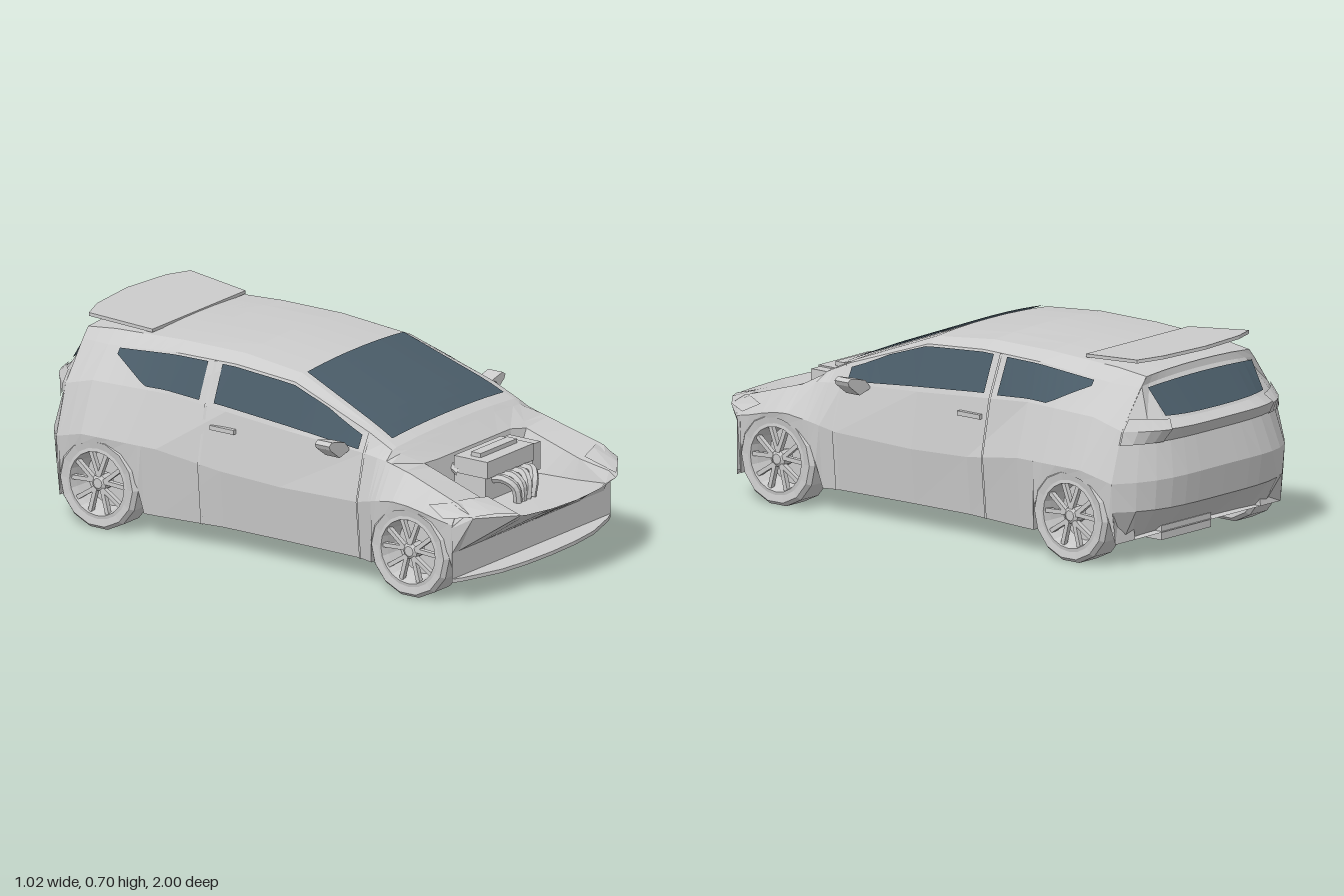
import * as THREE from 'three';

const grey = new THREE.MeshStandardMaterial({ color: 0xcccccc, flatShading: true });
const skin = new THREE.MeshStandardMaterial({ color: 0xcccccc, flatShading: true, side: THREE.DoubleSide });
const glass = new THREE.MeshStandardMaterial({ color: 0x4a5c68, flatShading: true, side: THREE.DoubleSide });
const lerp = THREE.MathUtils.lerp;

// Cross-section keys: z, then crease x y, belt x y, window top x y, roof edge x y, centre y
const KEYS = [
  [-0.87, 0.455, 0.30, 0.40, 0.475, 0.30, 0.61, 0.27, 0.645, 0.655],
  [-0.75, 0.478, 0.335, 0.41, 0.51, 0.32, 0.615, 0.275, 0.66, 0.672],
  [-0.45, 0.458, 0.33, 0.40, 0.515, 0.335, 0.645, 0.28, 0.675, 0.685],
  [-0.20, 0.428, 0.29, 0.395, 0.495, 0.335, 0.65, 0.28, 0.676, 0.688],
  [0.05, 0.428, 0.28, 0.395, 0.475, 0.335, 0.632, 0.29, 0.652, 0.665],
  [0.38, 0.435, 0.29, 0.395, 0.455, 0.36, 0.52, 0.33, 0.527, 0.54],
  [0.48, 0.465, 0.32, 0.40, 0.445, 0.365, 0.475, 0.34, 0.48, 0.492],
  [0.56, 0.478, 0.335, 0.40, 0.425, 0.29, 0.425, 0.21, 0.42, 0.42],
  [0.58, 0.48, 0.335, 0.40, 0.42, 0.275, 0.41, 0.21, 0.28, 0.28],
  [0.80, 0.46, 0.29, 0.42, 0.355, 0.28, 0.34, 0.26, 0.27, 0.27],
];
const AXLES = [0.62, -0.69];
const FLOOR = 0.085;

function keyAt(z) {
  let i = 0;
  while (i < KEYS.length - 2 && z > KEYS[i + 1][0]) i++;
  const a = KEYS[i], b = KEYS[i + 1], t = (z - a[0]) / (b[0] - a[0]);
  return a.map((v, k) => lerp(v, b[k], t));
}

// Roof, windscreen and cowl: t runs from the centre (0) to the edge (1 or -1)
function roofPoint(z, t) {
  const k = keyAt(z);
  return [k[7] * t, lerp(k[9], k[8], Math.pow(Math.abs(t), 2.2)), z];
}

function section(z) {
  const k = keyAt(z);
  let arch = 0;
  for (const a of AXLES) arch = Math.max(arch, 1 - ((z - a) / 0.18) ** 2);
  const rise = Math.sqrt(arch) * 0.228;
  const yb = FLOOR + rise;
  const half = [
    [0, FLOOR], [0.33, FLOOR], [0.33, yb + rise * 0.15],
    [k[1] - (rise > 0.01 ? 0.004 : 0.02), yb], [k[1], Math.max(k[2], yb + 0.018)],
    [k[3], k[4]], [k[5], k[6]],
    ...[1, 0.65, 0.3, 0].map((t) => roofPoint(z, t)),
  ];
  return half.map((p) => [p[0], p[1], z]);
}

const flip = (p) => [-p[0], p[1], p[2]];

// Surface through rows of points
function loft(name, rows, mat = skin) {
  const n = rows[0].length, idx = [];
  for (let i = 0; i < rows.length - 1; i++) for (let j = 0; j < n - 1; j++) {
    const a = i * n + j;
    idx.push(a, a + n, a + 1, a + 1, a + n, a + n + 1);
  }
  const g = new THREE.BufferGeometry();
  g.setAttribute('position', new THREE.Float32BufferAttribute(rows.flat(2), 3));
  g.setIndex(idx);
  g.computeVertexNormals();
  const m = new THREE.Mesh(g, mat);
  m.name = name;
  return m;
}
const span = (a, b, n, f) => Array.from({ length: n + 1 }, (_, i) => f(lerp(a, b, i / n)));
const mirrorRow = (half) => [...half.slice(1).reverse().map(flip), ...half];

function box(name, w, h, d, x, y, z) {
  const m = new THREE.Mesh(new THREE.BoxGeometry(w, h, d), grey);
  m.position.set(x, y, z);
  m.name = name;
  return m;
}
function tube(name, pts, r) {
  const c = new THREE.CatmullRomCurve3(pts.map((p) => new THREE.Vector3(...p)));
  const m = new THREE.Mesh(new THREE.TubeGeometry(c, 10, r, 6), grey);
  m.name = name;
  return m;
}
function extrude(name, pts, depth) {
  const s = new THREE.Shape(pts.map((p) => new THREE.Vector2(...p)));
  const m = new THREE.Mesh(new THREE.ExtrudeGeometry(s, { depth, bevelEnabled: false }), grey);
  m.name = name;
  return m;
}

// Tail rows: centre y z, then end x y z
const TAIL = [
  [0.655, -0.86, 0.27, 0.645, -0.87], [0.628, -0.865, 0.295, 0.615, -0.87],
  [0.50, -0.965, 0.37, 0.515, -0.87], [0.478, -1.0, 0.40, 0.475, -0.87],
  [0.43, -0.96, 0.415, 0.43, -0.87], [0.31, -0.995, 0.455, 0.30, -0.87],
  [0.20, -0.98, 0.45, 0.20, -0.87], [FLOOR, -0.83, 0.435, FLOOR, -0.87],
];
function tailPoint(r, t, out = 0) {
  const s = Math.abs(t);
  return [r[2] * t * (1 + out), lerp(r[0], r[3], s * s), lerp(r[1], r[4], s ** 4) - out];
}

function wheel() {
  const w = new THREE.Group();
  w.name = 'wheel';
  const ring = (name, pts, n) => {
    const m = new THREE.Mesh(new THREE.LatheGeometry(pts.map((p) => new THREE.Vector2(...p)), n), skin);
    m.name = name;
    m.rotation.z = -Math.PI / 2;
    w.add(m);
  };
  ring('tyre', [[0.122, -0.055], [0.152, -0.06], [0.165, -0.045], [0.165, 0.045], [0.152, 0.06], [0.122, 0.055]], 14);
  ring('rim', [[0.126, 0.056], [0.114, 0.058], [0.108, 0.03], [0.10, -0.03], [0, -0.03]], 20);
  ring('hub', [[0.03, 0.0], [0.03, 0.045], [0.018, 0.053], [0, 0.053]], 10);
  // Five pairs of spokes
  for (let i = 0; i < 10; i++) {
    const pivot = new THREE.Group();
    pivot.rotation.x = (Math.floor(i / 2) * 2 * Math.PI) / 5 + (i % 2 ? 0.25 : -0.25);
    const s = box('spoke', 0.018, 0.096, 0.015, 0.04, 0.068, 0);
    s.rotation.x = i % 2 ? 0.12 : -0.12;
    pivot.add(s);
    w.add(pivot);
  }
  return w;
}

// Parts of the left side
function sideParts() {
  const s = new THREE.Group();
  s.name = 'side';
  const pane = (name, z0, z1, low, high) => s.add(loft(name, span(0, 1, 12, (t) => {
    const z = lerp(z0, z1, t), k = keyAt(z);
    return [low(t), high(t)].map((u) => [lerp(k[3], k[5], u) + 0.006, lerp(k[4], k[6], u) + 0.002, z]);
  }), glass));
  pane('frontSideWindow', 0.36, -0.25, () => 0.1, (t) => lerp(0.75, 0.95, Math.min(1, t * 4)));
  pane('rearSideWindow', -0.31, -0.69, (t) => lerp(0.08, 0.78, Math.max(0, t - 0.6) / 0.4), () => 0.95);
  for (const z of [0.385, -0.28]) {
    s.add(loft('doorSeam', [z - 0.005, z + 0.005].map((q) =>
      section(q).slice(3, 7).map((p) => [p[0] + 0.005, p[1], q]))));
  }
  s.add(box('doorHandle', 0.022, 0.016, 0.1, 0.408, 0.435, -0.2));
  const mirror = extrude('wingMirror', [[0.39, 0.455], [0.45, 0.44], [0.505, 0.48], [0.512, 0.495], [0.495, 0.506], [0.42, 0.488]], 0.06);
  mirror.position.z = 0.26;
  s.add(mirror);
  for (const z of AXLES) {
    const w = wheel();
    w.position.set(0.41, 0.165, z);
    s.add(w);
    s.add(tube('suspensionArm', [[0.12, 0.08, z + 0.1], [0.24, 0.085, z + 0.05], [0.37, 0.13, z]], 0.014));
  }
  s.add(loft('tailLight', TAIL.slice(2, 5).map((r) => span(0.66, 1, 4, (t) => tailPoint(r, t, 0.008)))));
  s.add(loft('headlight', [
    [[0.28, 0.352, 0.82], [0.36, 0.362, 0.80], [0.425, 0.358, 0.77], [0.455, 0.345, 0.70]],
    [[0.285, 0.316, 0.95], [0.36, 0.325, 0.905], [0.43, 0.32, 0.85], [0.468, 0.31, 0.77]],
  ]));
  s.add(box('underTrayFoot', 0.035, 0.03, 0.08, 0.23, 0.065, 0.5));
  return s;
}

function engine() {
  const e = new THREE.Group();
  e.name = 'engine';
  e.add(box('engineBlock', 0.25, 0.1, 0.13, -0.01, 0.32, 0.64));
  e.add(box('engineCover', 0.27, 0.06, 0.14, -0.01, 0.39, 0.65));
  e.add(box('coverPlate', 0.21, 0.016, 0.04, -0.01, 0.427, 0.65));
  e.add(box('gearCase', 0.045, 0.1, 0.13, 0.147, 0.365, 0.65));
  e.add(tube('intakePipe', [[-0.14, 0.36, 0.6], [-0.12, 0.38, 0.55], [0.06, 0.38, 0.55], [0.09, 0.36, 0.6]], 0.014));
  for (let i = 0; i < 4; i++) {
    const x = -0.085 + i * 0.052;
    e.add(tube('exhaustHeader', [[x, 0.345, 0.7], [x, 0.35, 0.75], [lerp(x, -0.04, 0.3), 0.325, 0.785], [lerp(x, -0.04, 0.5), 0.27, 0.79]], 0.016));
  }
  return e;
}

export function createModel() {
  const car = new THREE.Group();
  car.name = 'car';

  // Main shell with wheel arches and open engine bay
  const zs = KEYS.map((k) => k[0]);
  for (const a of AXLES) for (const d of [-0.18, -0.165, -0.12, -0.06, 0, 0.06, 0.12, 0.165, 0.18]) zs.push(a + d);
  const stations = [...new Set(zs.map((z) => +z.toFixed(3)))].sort((a, b) => a - b);
  car.add(loft('bodyShell', stations.map((z) => {
    const h = section(z);
    return [...h, ...h.slice(0, -1).reverse().map(flip)];
  })));

  // Nose: bay front, pointed lip, undercut, bumper and splitter
  const xs = [0, 0.14, 0.26, 0.28, 0.42, 0.46];
  const row = (ys, zz) => mirrorRow(xs.map((x, i) => [x, ys[i] ?? ys[0], zz[i] ?? zz[0]]));
  car.add(loft('nose', [
    row([0.27, 0.27, 0.27, 0.34, 0.355, 0.29], [0.8]),
    row([0.28, 0.28, 0.28, 0.32, 0.33, 0.285], [0.96, 0.95, 0.925, 0.925, 0.84, 0.8]),
    row([0.305, 0.305, 0.308, 0.31, 0.315, 0.28], [1.0, 0.99, 0.967, 0.96, 0.86, 0.8]),
    row([0.19], [0.80]),
    row([0.098], [0.80]),
    row([0.098], [0.89, 0.885, 0.87, 0.865, 0.82, 0.8]),
    row([FLOOR], [0.89, 0.885, 0.87, 0.865, 0.82, 0.8]),
    row([FLOOR], [0.8]),
  ]));

  // Tail, rear window and spoiler
  car.add(loft('tail', TAIL.map((r) => span(-1, 1, 14, (t) => tailPoint(r, t)))));
  car.add(loft('rearWindow', [0.08, 0.92].map((u) => {
    const r = TAIL[1].map((v, k) => lerp(v, TAIL[2][k], u)), w = lerp(0.92, 0.68, u);
    return span(-w, w, 12, (t) => tailPoint(r, t, 0.008));
  }), glass));
  const spoiler = extrude('spoiler', [[-0.27, 0.6], [0.27, 0.6], [0.295, 0.85], [0.2, 0.885], [0, 0.905], [-0.2, 0.885], [-0.295, 0.85]], 0.012);
  spoiler.rotation.x = -Math.PI / 2 - 0.07;
  spoiler.scale.z = -1;
  spoiler.scale.y = 1;
  spoiler.geometry.scale(1, -1, -1);
  spoiler.geometry.translate(0, 0.6, 0);
  spoiler.rotation.x = Math.PI / 2 + 0.08;
  spoiler.scale.set(1, 1, 1);
  spoiler.position.set(0, 0.672, -0.6);
  car.add(spoiler);

  // Windscreen
  car.add(loft('windscreen', span(0.06, 0.45, 8, (z) =>
    span(-0.96, 0.96, 12, (t) => roofPoint(z, t)).map((p) => [p[0], p[1] + 0.007, p[2]])), glass));

  car.add(engine());

  // Both sides
  const left = sideParts();
  left.name = 'leftSide';
  const right = sideParts();
  right.name = 'rightSide';
  right.scale.x = -1;
  car.add(left, right);

  // Underbody
  car.add(box('engineTray', 0.32, 0.035, 0.2, 0, 0.068, 0.55));
  car.add(box('rearCrossbeam', 0.5, 0.03, 0.06, 0, 0.075, -0.62));
  car.add(box('silencer', 0.26, 0.05, 0.12, 0.05, 0.08, -0.8));
  for (const x of [-0.05, 0.04]) {
    car.add(tube('exhaustPipe', [[x, 0.065, 0.5], [x, 0.075, 0.1], [x, 0.075, -0.4], [x + 0.04, 0.075, -0.78]], 0.016));
  }
  return car;
}
